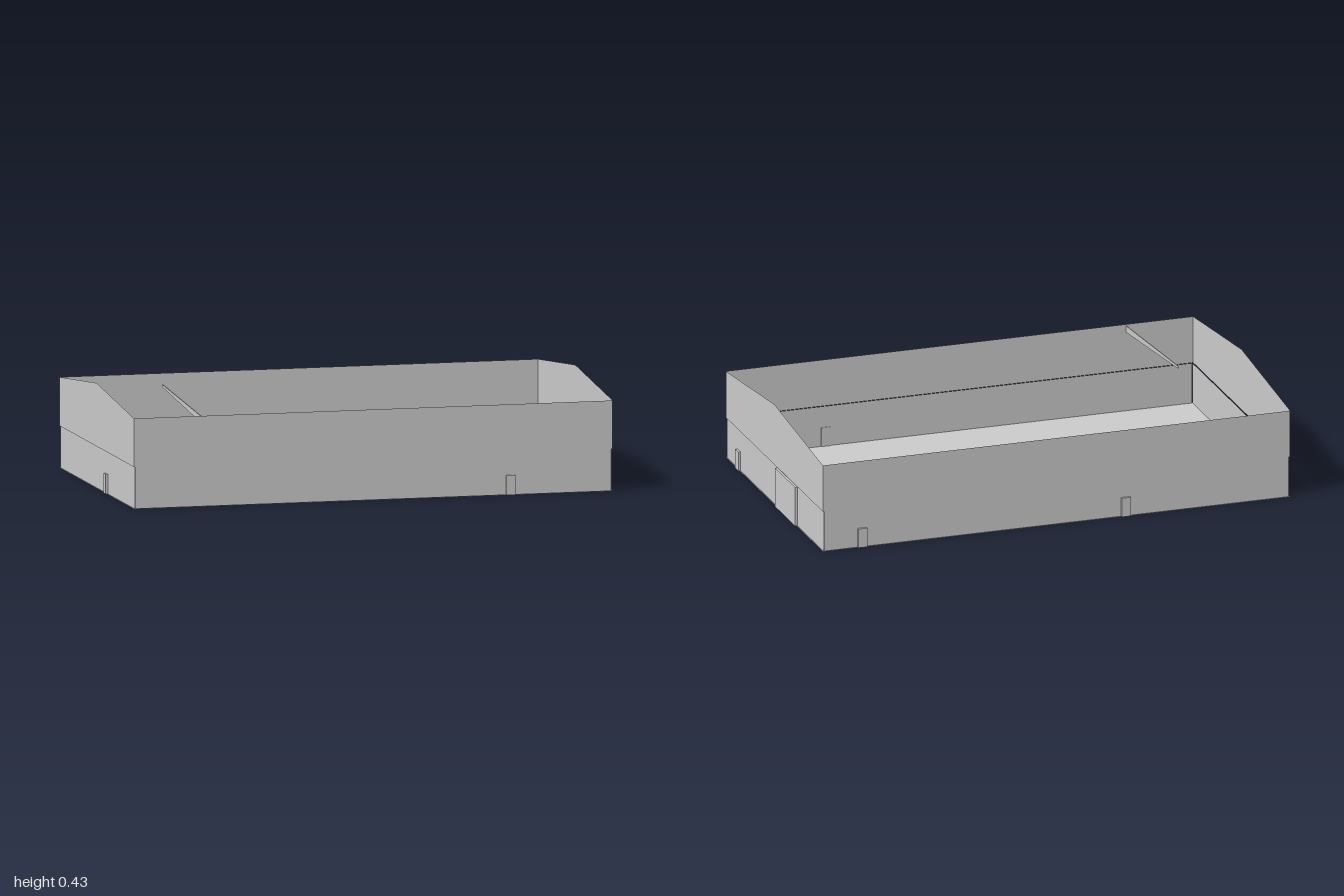
import * as THREE from 'three';

const grey = new THREE.MeshStandardMaterial({ color: 0xcccccc, flatShading: true, side: THREE.DoubleSide });
const HX = 0.993, HZ = 0.594;      // half length and half width of the hall
const EAVE = 0.367, RIDGE = 0.427; // heights of the long walls and gable peaks
const PLINTH = 0.17, INSET = 0.004;

function add(parent, name, geometry) {
  const mesh = new THREE.Mesh(geometry, grey);
  mesh.name = name;
  parent.add(mesh);
  return mesh;
}

// Flat outline in the local x/y plane
function panel(points) {
  return new THREE.ShapeGeometry(new THREE.Shape(points.map(([x, y]) => new THREE.Vector2(x, y))));
}

// One side of the hall, built facing +z: upper sheet, recessed lower wall, doors
function buildSide(name, half, distance, angle, gable, doors) {
  const side = new THREE.Group();
  side.name = name;
  side.rotation.y = angle;

  const top = gable ? [[half, EAVE], [0, RIDGE], [-half, EAVE]] : [[half, EAVE], [-half, EAVE]];
  add(side, 'upperWall', panel([[-half, PLINTH], [half, PLINTH], ...top])).position.z = distance;

  const w = half - INSET * 1.5;
  add(side, 'lowerWall', panel([[-w, 0], [w, 0], [w, PLINTH], [-w, PLINTH]])).position.z = distance - INSET;

  for (const [center, width, height, depth] of doors) {
    add(side, height > 0.1 ? 'loadingDoor' : 'door', new THREE.BoxGeometry(width, height, depth))
      .position.set(center, height / 2, distance + 0.006 - depth / 2);
  }
  return side;
}

export function createModel() {
  const hall = new THREE.Group();
  hall.name = 'warehouse';

  // Floor
  add(hall, 'floor', new THREE.PlaneGeometry(2 * HX, 2 * HZ).rotateX(-Math.PI / 2));

  // Walls; door centres run along each wall, left to right seen from outside
  const door = (center) => [center, 0.038, 0.08, 0.013];
  hall.add(
    buildSide('frontSide', HX, HZ, 0, false, [door(0.57)]),
    buildSide('backSide', HX, HZ, Math.PI, false, [door(-0.825), door(0.295)]),
    buildSide('leftSide', HZ, HX, Math.PI / 2, true, [door(-0.442), [0.148, 0.245, 0.165, 0.024]]),
    buildSide('rightSide', HZ, HX, -Math.PI / 2, true, [door(0.148)]),
  );

  // Tapered rafter sloping from the front wall up to the ridge
  const profile = new THREE.Shape([[-0.59, 0.335], [0.045, 0.395], [0.045, 0.405], [-0.59, 0.362]]
    .map(([x, y]) => new THREE.Vector2(x, y)));
  const rafter = add(hall, 'rafter', new THREE.ExtrudeGeometry(profile, { depth: 0.004, bevelEnabled: false }));
  rafter.rotation.y = Math.PI / 2;
  rafter.position.x = -0.71;

  return hall;
}
